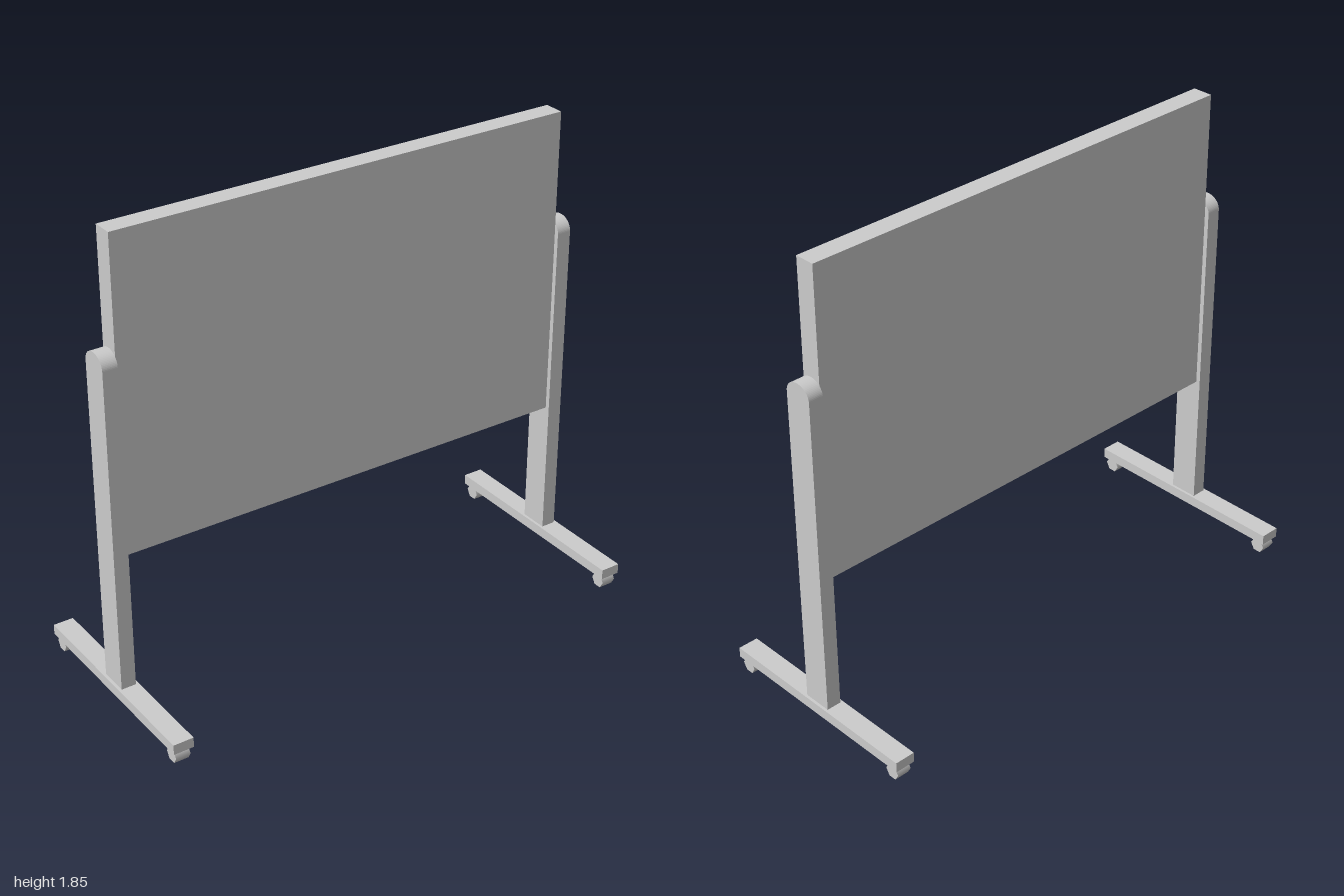
import * as THREE from 'three';

const grey = new THREE.MeshStandardMaterial({ color: 0xcccccc });

function addPart(parent, name, geometry, x, y, z) {
  const mesh = new THREE.Mesh(geometry, grey);
  mesh.name = name;
  mesh.position.set(x, y, z);
  parent.add(mesh);
}

// Upright with a softly rounded top, extruded across its thickness
function postGeometry(halfDepth, bottom, shoulder, top, thickness) {
  const shape = new THREE.Shape();
  shape.moveTo(-halfDepth, bottom);
  shape.lineTo(halfDepth, bottom);
  shape.lineTo(halfDepth, shoulder);
  shape.absellipse(0, shoulder, halfDepth, top - shoulder, 0, Math.PI, false);
  shape.closePath();
  const geometry = new THREE.ExtrudeGeometry(shape, {
    depth: thickness, bevelEnabled: false, curveSegments: 16,
  });
  geometry.translate(0, 0, -thickness / 2);
  geometry.rotateY(Math.PI / 2);
  return geometry;
}

export function createModel() {
  const model = new THREE.Group();
  model.name = 'mobileBoard';

  // Writing panel
  addPart(model, 'panel', new THREE.BoxGeometry(1.86, 1.22, 0.08), 0, 1.24, 0);

  // Six-sided wheel lying along x, with flats at top and bottom
  const wheel = new THREE.CylinderGeometry(0.031, 0.031, 0.058, 6);
  wheel.rotateZ(Math.PI / 2);
  const post = postGeometry(0.057, 0.09, 1.37, 1.42, 0.058);
  const foot = new THREE.BoxGeometry(0.08, 0.04, 0.874);

  // Stand on each side: post, foot and two wheels
  for (const side of [1, -1]) {
    const stand = new THREE.Group();
    stand.name = side > 0 ? 'leftStand' : 'rightStand';
    stand.position.x = side * 0.96;
    addPart(stand, 'post', post, 0, 0, 0);
    addPart(stand, 'foot', foot, 0, 0.074, 0);
    addPart(stand, 'frontWheel', wheel, 0, 0.027, 0.4);
    addPart(stand, 'backWheel', wheel, 0, 0.027, -0.4);
    model.add(stand);
  }
  return model;
}
